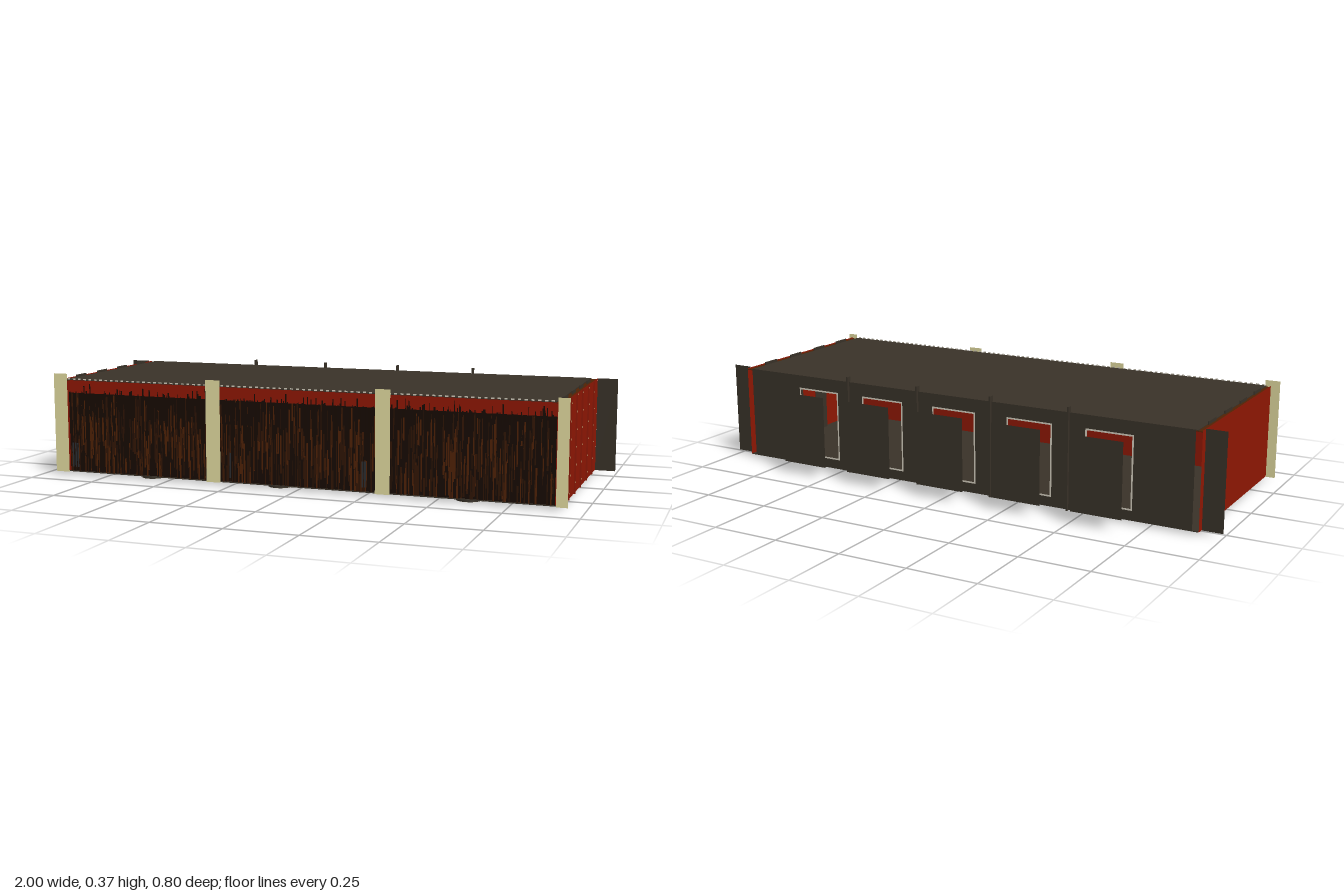
import * as THREE from 'three';
import { mergeGeometries } from 'three/addons/utils/BufferGeometryUtils.js';

const mat = (name, color) => {
  const m = new THREE.MeshStandardMaterial({ color, side: THREE.DoubleSide });
  m.name = name;
  return m;
};

export function createModel() {
  const group = new THREE.Group();
  const charcoal = mat('charcoal', 0x3a3329);
  const red = mat('barn red', 0x921803);
  const cream = mat('cream', 0xeae2a5);
  const darkBrown = mat('dark brown', 0x170a02);
  const midBrown = mat('mid brown', 0x301503);
  const rust = mat('rust brown', 0x522204);
  const slate = mat('slate', 0x2c2e33);
  const pale = mat('pale outline', 0xd8d2c2);

  const add = (name, geo, material) => {
    const mesh = new THREE.Mesh(geo, material);
    mesh.name = name;
    group.add(mesh);
    return mesh;
  };
  // box given by its low and high corners
  const span = (x0, x1, y0, y1, z0, z1) =>
    new THREE.BoxGeometry(x1 - x0, y1 - y0, z1 - z0)
      .translate((x0 + x1) / 2, (y0 + y1) / 2, (z0 + z1) / 2);
  // upright sheet facing front or back
  const sheet = (x0, x1, y0, y1, z) =>
    new THREE.PlaneGeometry(x1 - x0, y1 - y0).translate((x0 + x1) / 2, (y0 + y1) / 2, z);
  const rectPath = (Type, x0, x1, y0, y1) => {
    const p = new Type();
    p.moveTo(x0, y0).lineTo(x1, y0).lineTo(x1, y1).lineTo(x0, y1).closePath();
    return p;
  };

  const FLOOR = 0.012, ROOF = 0.355;
  const bays = [-0.6, -0.3, 0, 0.303, 0.587];

  // Roof and floor slabs, with a dashed upright trim along the front eave
  add('roof', span(-0.907, 0.898, ROOF - 0.003, ROOF, -0.3, 0.396), charcoal);
  add('floor', span(-0.92, 0.92, FLOOR, FLOOR + 0.003, -0.3, 0.396), charcoal);
  const dashes = [];
  for (let x = -0.9; x < 0.89; x += 0.022) dashes.push(sheet(x, x + 0.011, ROOF - 0.001, ROOF + 0.004, 0.397));
  add('eaveTrim', mergeGeometries(dashes), pale);

  // Back wall with five window openings
  const wall = rectPath(THREE.Shape, -0.9, 0.9, FLOOR, ROOF);
  for (const x of bays) wall.holes.push(rectPath(THREE.Path, x - 0.085, x + 0.085, 0.05, 0.305));
  add('backWall', new THREE.ShapeGeometry(wall).translate(0, 0, -0.3), charcoal);

  for (const x of bays) {
    // thin window outline
    const frame = rectPath(THREE.Shape, x - 0.088, x + 0.088, 0.047, 0.308);
    frame.holes.push(rectPath(THREE.Path, x - 0.082, x + 0.082, 0.053, 0.302));
    add('windowFrame', new THREE.ShapeGeometry(frame).translate(0, 0, -0.301), pale);
    // panel hanging in front of the window, and its round shelf
    add('hangingPanel', sheet(x - 0.093, x + 0.093, 0.045, 0.31, -0.399), charcoal);
    add('roundShelf', new THREE.CylinderGeometry(0.043, 0.043, 0.005, 32)
      .translate(x, 0.065, -0.351), charcoal);
  }

  // Fins between the windows, wings at both ends of the back
  for (const x of [-0.45, -0.15, 0.15, 0.45])
    add('divider', span(x - 0.003, x + 0.003, 0.01, 0.375, -0.31, -0.29), charcoal);
  add('leftWing', sheet(0.926, 1, 0.014, 0.357, -0.28), charcoal);
  add('rightWing', sheet(-1, -0.926, 0.014, 0.357, -0.28), charcoal);

  for (const s of [-1, 1]) {
    // flat side wall
    add('sideWall', new THREE.PlaneGeometry(0.697, ROOF - FLOOR).rotateY(s * Math.PI / 2)
      .translate(s * 0.923, (ROOF + FLOOR) / 2, 0.0485), red);
    // ledge closing the gap between roof and side wall
    add('sideLedge', span(s * 0.91 - 0.012, s * 0.91 + 0.012, ROOF - 0.006, ROOF - 0.004, -0.3, 0.396), rust);
    // dark boards behind the side wall, slightly taller than the roof
    for (const z of [0.287, 0.135, -0.02, -0.176])
      add('sideBoard', span(s * 0.908 - 0.002, s * 0.908 + 0.002, 0.01, 0.363, z - 0.035, z + 0.035), charcoal);
  }
  // Low seams on the left side: red in front, cream behind
  for (const z of [0.285, 0.17, 0.055, -0.075, -0.195]) {
    add('seamFront', sheet(0.923, 0.929, FLOOR, ROOF, z + 0.0005), red);
    add('seamBack', sheet(0.923, 0.929, FLOOR, ROOF, z - 0.0005), cream);
  }

  // Front wall and the fringe of hanging strands
  add('frontWall', sheet(-0.922, 0.918, FLOOR, ROOF - 0.003, 0.388), red);
  add('fringeBacking', sheet(-0.9, 0.9, FLOOR, 0.305, 0.39), darkBrown);
  let seed = 7;
  const rand = () => (seed = (seed * 16807) % 2147483647) / 2147483647;
  const colours = [darkBrown, midBrown, rust];
  const strands = [[], [], []];
  for (let i = 0; i < 900; i++) {
    const x = -0.895 + 1.79 * rand();
    const w = 0.002 + 0.004 * rand();
    const kind = Math.floor(rand() * 3);
    const top = kind === 0 ? 0.3 + 0.045 * rand() * rand() : 0.07 + 0.24 * rand();
    const bottom = kind === 0 ? 0.22 : Math.max(FLOOR, top - 0.05 - 0.12 * rand());
    strands[kind].push(sheet(x - w / 2, x + w / 2, bottom, top, 0.3925 + 0.0025 * rand()));
  }
  strands.forEach((list, k) => add('fringeStrands', mergeGeometries(list), colours[k]));
  // a few greyish strands near the posts
  for (const x of [-0.885, -0.874, -0.865, -0.25, 0.243, 0.252])
    add('greyStrand', sheet(x - 0.003, x + 0.003, 0.03, 0.12, 0.396), slate);

  // Front posts
  for (const [a, b, top] of [[-0.957, -0.902, 0.375], [-0.342, -0.287, 0.375],
    [0.288, 0.341, 0.37], [0.904, 0.943, 0.368]])
    add('frontPost', sheet(a, b, 0.01, top, 0.398), cream);

  // Rounded hatch outlines under the floor
  const rounded = (Type, hw, hh, r) => {
    const p = new Type();
    p.absarc(hw - r, hh - r, r, 0, Math.PI / 2);
    p.absarc(r - hw, hh - r, r, Math.PI / 2, Math.PI);
    p.absarc(r - hw, r - hh, r, Math.PI, Math.PI * 1.5);
    p.absarc(hw - r, r - hh, r, Math.PI * 1.5, Math.PI * 2);
    p.closePath();
    return p;
  };
  const hatch = rounded(THREE.Shape, 0.076, 0.066, 0.03);
  hatch.holes.push(rounded(THREE.Path, 0.071, 0.061, 0.027));
  for (const x of bays)
    add('floorHatch', new THREE.ShapeGeometry(hatch).rotateX(Math.PI / 2)
      .translate(x, FLOOR - 0.001, 0.02), pale);

  // Clusters of round feet under the floor
  const feet = [[0.645, 0.27], [0.575, 0.225], [0.6, 0.335], [0.235, 0.3], [0.235, 0.225],
    [0.09, 0.3], [0.09, 0.225], [-0.083, 0.335], [-0.083, 0.25], [-0.2, 0.26],
    [-0.585, 0.335], [-0.63, 0.225], [-0.675, 0.29]];
  for (const [x, z] of feet) {
    add('foot', new THREE.CylinderGeometry(0.043, 0.043, 0.011, 24).translate(x, 0.0065, z), charcoal);
    add('footRim', new THREE.RingGeometry(0.039, 0.043, 24).rotateX(Math.PI / 2).translate(x, 0.0004, z), pale);
  }

  return group;
}
